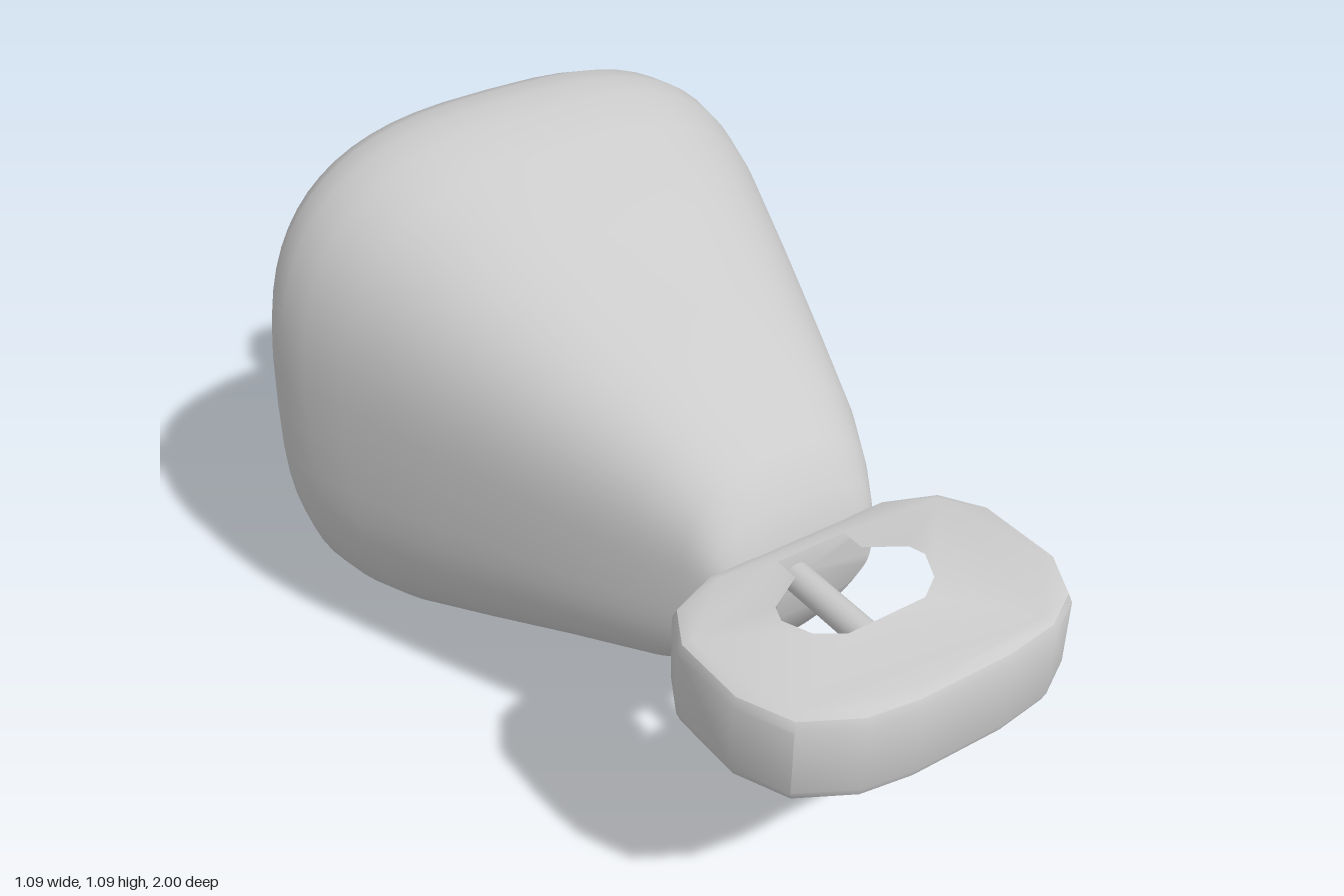
import * as THREE from 'three';
import { toCreasedNormals } from 'three/addons/utils/BufferGeometryUtils.js';
import { RoundedBoxGeometry } from 'three/addons/geometries/RoundedBoxGeometry.js';

const CY = 0.545; // height of the bell's axis
const AX = -0.012; // x of the rod and clapper
const material = new THREE.MeshStandardMaterial({ color: 0xcccccc, roughness: 0.7 });

function add(parent, name, geometry, x = 0, y = 0, z = 0) {
  const mesh = new THREE.Mesh(geometry, material);
  mesh.name = name;
  mesh.position.set(x, y, z);
  parent.add(mesh);
  return mesh;
}

// Skin of rounded-square sections [z, halfWidth, halfHeight], ordered from the front
function loft(sections, sides = 64, power = 2.9) {
  const positions = [], index = [];
  const curve = (v) => Math.sign(v) * Math.abs(v) ** (2 / power);
  for (const [z, w, h] of sections) {
    for (let j = 0; j < sides; j++) {
      const a = (j / sides) * Math.PI * 2;
      positions.push(w * curve(Math.cos(a)), h * curve(Math.sin(a)), z);
    }
  }
  for (let i = 0; i < sections.length - 1; i++) {
    for (let j = 0; j < sides; j++) {
      const k = (j + 1) % sides;
      const a = i * sides + j, b = i * sides + k, c = a + sides, d = b + sides;
      index.push(a, c, b, b, c, d);
    }
  }
  const geometry = new THREE.BufferGeometry();
  geometry.setAttribute('position', new THREE.Float32BufferAttribute(positions, 3));
  geometry.setIndex(index);
  return toCreasedNormals(geometry, 0.75);
}

function outline(points, Type = THREE.Shape) {
  return new Type(points.map(([x, y]) => new THREE.Vector2(x, y)));
}

export function createModel() {
  const model = new THREE.Group();
  model.name = 'bell';

  // Hollow body: outside to the rim, then the inner wall back to the crown
  add(model, 'bellBody', loft([
    [0.57, 0, 0], [0.57, 0.16, 0.085], [0.54, 0.185, 0.14], [0.495, 0.21, 0.215],
    [0.4, 0.26, 0.268], [0.2, 0.345, 0.345], [0, 0.425, 0.43], [-0.2, 0.502, 0.513],
    [-0.3, 0.533, 0.54], [-0.37, 0.546, 0.546], [-0.43, 0.538, 0.54], [-0.48, 0.515, 0.52],
    [-0.515, 0.475, 0.485], [-0.53, 0.43, 0.44], [-0.525, 0.4, 0.41],
    [-0.5, 0.385, 0.395], [-0.3, 0.37, 0.38], [0, 0.31, 0.32], [0.3, 0.2, 0.21],
    [0.46, 0.13, 0.13], [0.47, 0, 0],
  ]), 0, CY, 0);

  // Hanging loop
  const loop = outline([
    [-0.2, 0.56], [-0.3, 0.6], [-0.345, 0.68], [-0.345, 0.83], [-0.3, 0.93], [-0.2, 0.985],
    [-0.1, 1], [0.09, 1], [0.2, 0.985], [0.28, 0.94], [0.33, 0.85], [0.33, 0.68],
    [0.28, 0.6], [0.18, 0.56],
  ]);
  loop.holes.push(outline([
    [-0.11, 0.58], [-0.11, 0.64], [-0.18, 0.68], [-0.2, 0.73], [-0.17, 0.8], [-0.11, 0.84],
    [0.07, 0.84], [0.13, 0.8], [0.165, 0.73], [0.15, 0.68], [0.085, 0.64], [0.085, 0.58],
  ], THREE.Path));
  const loopGeometry = new THREE.ExtrudeGeometry(loop, {
    depth: 0.13, bevelThickness: 0.025, bevelSize: 0.025, bevelOffset: -0.025, bevelSegments: 2,
  });
  loopGeometry.rotateX(Math.PI / 2);
  add(model, 'hangingLoop', toCreasedNormals(loopGeometry, 0.6), 0, 0.605, 0);

  // Flat ring at the mouth
  const ringProfile = [
    [0.21, -0.535], [0.265, -0.535], [0.283, -0.555], [0.278, -0.57], [0.215, -0.57],
    [0.205, -0.555], [0.21, -0.535],
  ].map(([r, z]) => new THREE.Vector2(r, -z)).reverse();
  ringProfile.reverse();
  const ringGeometry = new THREE.LatheGeometry(ringProfile, 48).rotateX(-Math.PI / 2);
  add(model, 'mouthRing', toCreasedNormals(ringGeometry, 0.6), -0.005, CY, 0);

  // Rod through the bell
  const rod = new THREE.CylinderGeometry(0.028, 0.028, 1.56, 16).rotateX(Math.PI / 2);
  add(model, 'rod', rod, AX, 0.542, 0.07);

  // Clapper: blocky core with stepped bosses around it
  const clapper = new THREE.Group();
  clapper.name = 'clapper';
  clapper.position.set(AX, 0.543, -0.87);
  model.add(clapper);
  add(clapper, 'clapperCore', new RoundedBoxGeometry(0.23, 0.25, 0.2, 2, 0.025));
  add(clapper, 'clapperCollar', new RoundedBoxGeometry(0.135, 0.11, 0.06, 1, 0.01), 0, 0, 0.14);
  add(clapper, 'clapperShoulder', new RoundedBoxGeometry(0.18, 0.2, 0.05, 1, 0.012), 0, 0, 0.1);
  for (let i = 0; i < 4; i++) {
    const side = new THREE.Group();
    side.name = 'sideBoss';
    side.rotation.z = (i * Math.PI) / 2;
    clapper.add(side);
    add(side, 'bossPlate', new RoundedBoxGeometry(0.03, 0.15, 0.16, 1, 0.008), 0.125, 0, 0);
    add(side, 'bossKnob', new THREE.BoxGeometry(0.05, 0.045, 0.075), 0.13, 0, 0);
  }

  // End frame with a square socket
  const frame = outline([[-0.095, -0.08], [-0.075, -0.1], [0.075, -0.1], [0.095, -0.08],
    [0.095, 0.08], [0.075, 0.1], [-0.075, 0.1], [-0.095, 0.08]]);
  frame.holes.push(outline([[-0.04, -0.045], [-0.04, 0.045], [0.04, 0.045], [0.04, -0.045]], THREE.Path));
  add(clapper, 'endFrame', new THREE.ExtrudeGeometry(frame, { depth: 0.04, bevelEnabled: false }), 0, 0, -0.13);

  return model;
}
